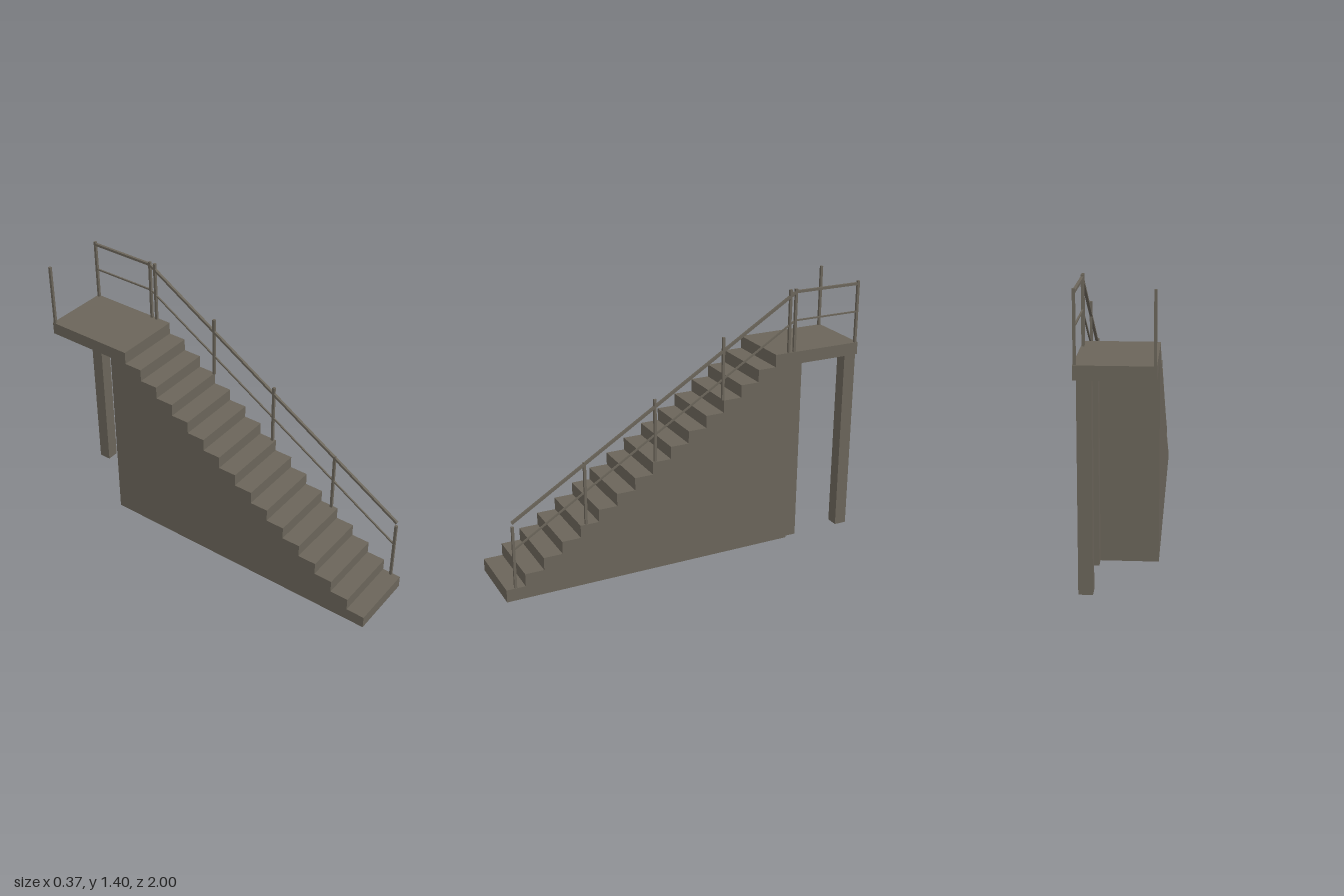
import * as THREE from 'three';

export function createModel() {
  const model = new THREE.Group();
  model.name = 'staircase';
  const stone = new THREE.MeshStandardMaterial({ color: 0x6b655a });
  stone.name = 'grey brown';

  const RISE = 1 / 15, TREAD = 0.1, STEPS = 16, HALF = 0.183;
  const TOP = RISE * STEPS;

  // box given by its minimum and maximum corners
  function block(name, [x0, y0, z0], [x1, y1, z1]) {
    const mesh = new THREE.Mesh(new THREE.BoxGeometry(x1 - x0, y1 - y0, z1 - z0), stone);
    mesh.position.set((x0 + x1) / 2, (y0 + y1) / 2, (z0 + z1) / 2);
    mesh.name = name;
    model.add(mesh);
  }

  // solid steps, each reaching the ground
  for (let i = 0; i < STEPS; i++) {
    const front = 1 - i * TREAD;
    block('step', [-HALF, 0, front - TREAD], [HALF, RISE * (i + 1), front]);
  }

  // landing and its two legs
  block('landing', [-HALF, TOP - RISE, -1], [HALF, TOP, -0.6]);
  for (const z of [-0.667, -1]) {
    block('landingLeg', [0.1, 0, z], [0.167, TOP - RISE, z + 0.067]);
  }

  // railing posts: x, z, foot height
  const POST = 0.0133, RAIL_X = 0.174;
  const posts = [
    [RAIL_X, 0.95, RISE], [RAIL_X, 0.567, RISE * 5], [RAIL_X, 0.184, RISE * 9],
    [RAIL_X, -0.197, RISE * 13], [RAIL_X, -0.58, TOP], [RAIL_X, -0.612, TOP],
    [RAIL_X, -0.988, TOP], [-0.176, -0.988, TOP],
  ];
  for (const [x, z, y] of posts) {
    block('railingPost', [x - POST / 2, y, z - POST / 2], [x + POST / 2, y + 1 / 3, z + POST / 2]);
  }

  // rails running between two points in the railing plane
  function rail(name, size, [z0, y0], [z1, y1]) {
    const mesh = new THREE.Mesh(
      new THREE.BoxGeometry(size, size, Math.hypot(z1 - z0, y1 - y0)), stone);
    mesh.position.set(RAIL_X, (y0 + y1) / 2, (z0 + z1) / 2);
    mesh.rotation.x = Math.atan2(y1 - y0, z0 - z1);
    mesh.name = name;
    model.add(mesh);
  }
  rail('stairHandrail', 0.0133, [0.953, 0.42], [-0.612, 1.384]);
  rail('stairMidRail', 0.008, [0.953, 0.272], [-0.612, 1.234]);
  rail('landingHandrail', 0.0133, [-0.612, 1.385], [-0.988, 1.385]);
  rail('landingMidRail', 0.008, [-0.612, 1.234], [-0.988, 1.234]);

  return model;
}
